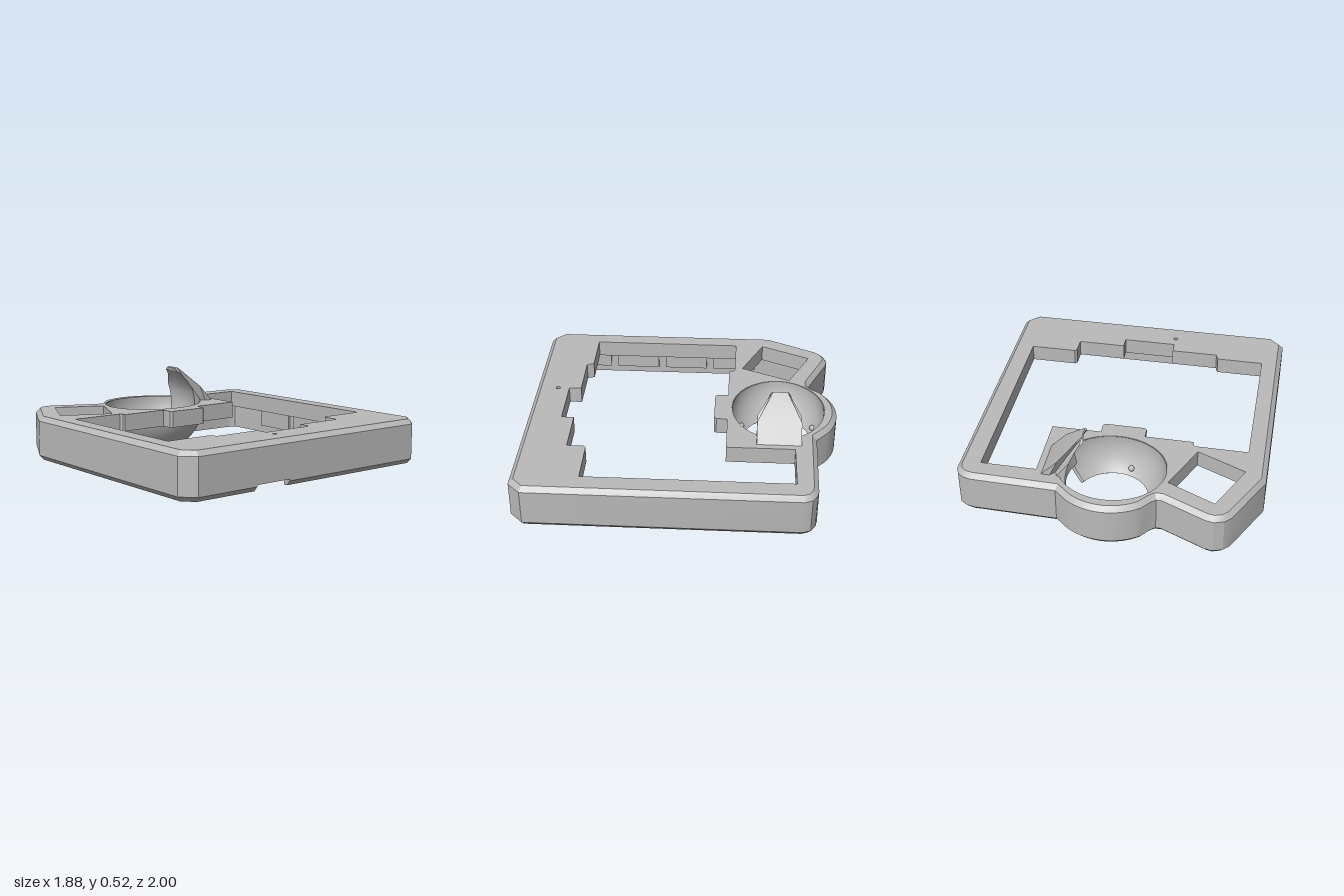
import * as THREE from 'three';
import { toCreasedNormals } from 'three/addons/utils/BufferGeometryUtils.js';

// Plan points are [x, -z]; plans are extruded upwards.
const V = (a) => a.map(([x, y]) => new THREE.Vector2(x, y));

const CUP = { y: 0.255, z: -0.62, r: 0.3 };

function outline() {
  const pts = [[-0.86, -1], [-0.44, -1], [-0.439, -1], [-0.191, -1], [-0.19, -1], [0.86, -1],
    [0.94, -0.92], [0.94, 0.76], [0.92, 0.81], [0.875, 0.84], [0.83, 0.85], [0.3, 0.86], [0.265, 0.89]];
  for (let i = 0; i <= 16; i++) {
    const a = 0.95 + (1.28 * i) / 16;
    pts.push([0.38 * Math.cos(a), 0.62 + 0.38 * Math.sin(a)]);
  }
  pts.push([-0.28, 0.86], [-0.31, 0.835], [-0.34, 0.835], [-0.62, 0.96], [-0.67, 0.97],
    [-0.73, 0.95], [-0.77, 0.91], [-0.94, 0.57], [-0.94, -0.92]);
  return V(pts);
}

// Moves a counter-clockwise outline inwards with mitred corners
function inset(pts, d) {
  const n = pts.length;
  return pts.map((p, i) => {
    const a = p.clone().sub(pts[(i + n - 1) % n]).normalize();
    const b = pts[(i + 1) % n].clone().sub(p).normalize();
    const na = new THREE.Vector2(-a.y, a.x), nb = new THREE.Vector2(-b.y, b.x);
    const m = na.clone().add(nb);
    return p.clone().addScaledVector(m, d / (1 + na.dot(nb)));
  });
}

// Outer wall: rings of [inset, height], from inside top, round the foot, to the top bevel
function wallGeometry(pts) {
  const rings = [[0.05, 0.19], [0.05, 0], [0.025, 0], [0, 0.03], [0, 0.255], [0.03, 0.285]];
  const loops = rings.map(([d, y]) => inset(pts, d).map((p, i) => {
    const inNotch = i === 2 || i === 3;
    return [p.x, inNotch ? Math.max(y, 0.04) : y, -p.y];
  }));
  const pos = [], n = pts.length;
  for (let k = 0; k < loops.length - 1; k++) {
    for (let i = 0; i < n; i++) {
      const j = (i + 1) % n;
      const a = loops[k][i], b = loops[k][j], c = loops[k + 1][j], d = loops[k + 1][i];
      pos.push(...a, ...b, ...c, ...a, ...c, ...d);
    }
  }
  const g = new THREE.BufferGeometry();
  g.setAttribute('position', new THREE.Float32BufferAttribute(pos, 3));
  return toCreasedNormals(g, 0.45);
}

// Top plate with the large stepped opening, slanted window, cup hole and pin hole
function plateGeometry(pts) {
  const shape = new THREE.Shape(inset(pts, 0.03));
  shape.holes.push(new THREE.Path(V([
    [-0.81, 0.33], [-0.475, 0.33], [-0.46, 0.315], [-0.46, 0.29], [-0.15, 0.29], [-0.15, 0.22],
    [-0.135, 0.205], [0.12, 0.205], [0.135, 0.22], [0.135, 0.29], [0.45, 0.29], [0.45, 0.72],
    [0.8, 0.72], [0.8, -0.58], [0.5, -0.58], [0.485, -0.595], [0.485, -0.7], [0.17, -0.7],
    [0.17, -0.78], [-0.18, -0.78], [-0.18, -0.7], [-0.49, -0.7], [-0.505, -0.655], [-0.81, -0.655],
  ])));
  shape.holes.push(new THREE.Path(V([[-0.66, 0.84], [-0.36, 0.7], [-0.5, 0.38], [-0.81, 0.52]])));
  const cupHole = new THREE.Path();
  cupHole.absellipse(0, -CUP.z, 0.343, 0.304, 0, Math.PI * 2, true);
  const pinHole = new THREE.Path();
  pinHole.absarc(-0.18, -0.855, 0.014, 0, Math.PI * 2, true);
  shape.holes.push(cupHole, pinHole);
  const g = new THREE.ExtrudeGeometry(shape, { depth: 0.11, bevelEnabled: false, curveSegments: 32 });
  g.rotateX(-Math.PI / 2).translate(0, 0.175, 0);
  return toCreasedNormals(g, 0.45);
}

// Round cup with an open base and a gap on its left side
function cupGeometry() {
  const arc = (r, y0, y1) => Array.from({ length: 11 }, (_, i) => {
    const y = y0 + ((y1 - y0) * i) / 10;
    return [Math.sqrt(r * r - (y - CUP.y) ** 2), y];
  });
  const inner = arc(CUP.r, 0.05, 0.284), outer = arc(CUP.r + 0.03, 0.27, 0.03);
  const gap = 0.47;
  const g = new THREE.LatheGeometry(V([...outer, ...inner, outer[0]]), 56,
    Math.PI / 2 + gap, Math.PI * 2 - 2 * gap);
  // The cup widens sideways towards its rim
  const p = g.attributes.position;
  for (let i = 0; i < p.count; i++) {
    p.setX(i, p.getX(i) * (1.03 + 0.1 * (p.getY(i) - 0.05) / 0.235));
  }
  return toCreasedNormals(g.toNonIndexed(), 0.5);
}

// Leaning guard: a side profile, tapered to the tip and hollowed towards the cup
function guardGeometry() {
  const shape = new THREE.Shape(V([[0.25, 0.16], [0.41, 0.16], [0.41, 0.285], [0.31, 0.39],
    [0.185, 0.518], [0.172, 0.525], [0.16, 0.518], [0.16, 0.5], [0.185, 0.48], [0.21, 0.44],
    [0.235, 0.39], [0.25, 0.34], [0.26, 0.285], [0.262, 0.23]]));
  const g = new THREE.ExtrudeGeometry(shape, { depth: 0.28, steps: 10, bevelEnabled: false });
  g.translate(0, 0, -0.14);
  const p = g.attributes.position;
  for (let i = 0; i < p.count; i++) {
    const x = p.getX(i), y = p.getY(i), u = p.getZ(i) / 0.14;
    const half = y <= 0.39 ? 0.14 : 0.14 - 0.09 * Math.min(1, (y - 0.39) / 0.13);
    const thick = 0.41 - Math.max(0, y - 0.285) * 0.98 - x;
    const hollow = 0.035 * (1 - u * u) * THREE.MathUtils.clamp(thick / 0.1, 0, 1);
    p.setXYZ(i, x + hollow, y, u * half);
  }
  return toCreasedNormals(g, 0.45);
}

export function createModel() {
  const group = new THREE.Group();
  const grey = new THREE.MeshStandardMaterial({ color: 0xbababa, side: THREE.DoubleSide });
  grey.name = 'plain grey';
  const add = (name, geometry, x = 0, y = 0, z = 0) => {
    const m = new THREE.Mesh(geometry, grey);
    m.name = name;
    m.position.set(x, y, z);
    group.add(m);
    return m;
  };

  const pts = outline();
  add('outerWall', wallGeometry(pts));
  add('topPlate', plateGeometry(pts));
  add('cup', cupGeometry(), 0, 0, CUP.z);
  add('guard', guardGeometry(), 0, 0, CUP.z);

  // Small support pins inside the cup
  for (const a of [1.9, Math.PI, -1.9]) {
    add('supportPin', new THREE.SphereGeometry(0.02, 12, 8),
      0.25 * Math.cos(a), 0.09, CUP.z + 0.25 * Math.sin(a));
  }

  // Panels along the inside of both side walls
  for (const side of [-1, 1]) {
    for (let i = 0; i < 4; i++) {
      add('innerPanel', new THREE.BoxGeometry(0.02, 0.13, 0.3), side * 0.885, 0.115, -0.32 + i * 0.35);
    }
  }
  // Catches inside the front wall
  for (const x of [-0.68, 0.68]) {
    add('frontCatch', new THREE.BoxGeometry(0.14, 0.03, 0.02), x, 0.07, 0.945);
  }
  return group;
}
